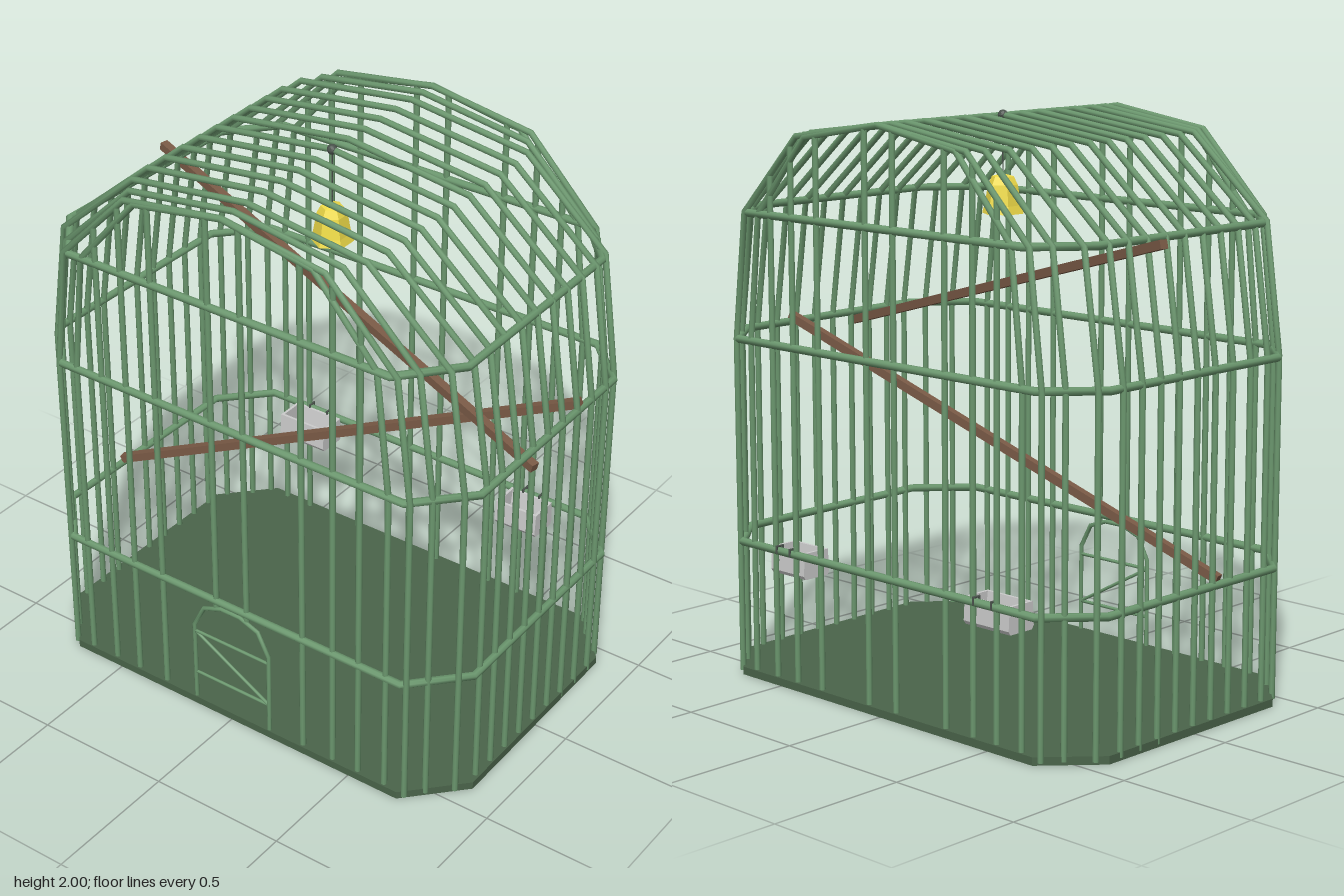
import * as THREE from 'three';

const mat = (color, extra = {}) => new THREE.MeshStandardMaterial({ color, flatShading: true, ...extra });
const V = (x, y, z) => new THREE.Vector3(x, y, z);

// Mitred pipe along a planar path; n is the normal of the path's plane.
function pipe(points, n, r, closed = false, sides = 8) {
  const count = points.length, pos = [], idx = [];
  points.forEach((p, i) => {
    const prev = closed || i > 0 ? points[(i + count - 1) % count] : null;
    const next = closed || i < count - 1 ? points[(i + 1) % count] : null;
    const a = prev ? p.clone().sub(prev).normalize() : next.clone().sub(p).normalize();
    const b = next ? next.clone().sub(p).normalize() : a;
    const t = a.clone().add(b).normalize();
    const m = t.clone().cross(n).multiplyScalar(1 / t.dot(a));
    for (let j = 0; j < sides; j++) {
      const ang = (j + 0.5) / sides * Math.PI * 2;
      pos.push(...p.clone().addScaledVector(n, r * Math.cos(ang)).addScaledVector(m, r * Math.sin(ang)).toArray());
    }
  });
  for (let i = 0; i < (closed ? count : count - 1); i++) {
    const k = ((i + 1) % count) * sides;
    for (let j = 0; j < sides; j++) {
      const a = i * sides + j, b = i * sides + (j + 1) % sides, c = k + (j + 1) % sides, d = k + j;
      idx.push(a, b, c, a, c, d);
    }
  }
  if (!closed) {
    const e = (count - 1) * sides;
    for (let j = 1; j < sides - 1; j++) idx.push(0, j + 1, j, e, e + j, e + j + 1);
  }
  const g = new THREE.BufferGeometry();
  g.setAttribute('position', new THREE.Float32BufferAttribute(pos, 3));
  g.setIndex(idx);
  g.computeVertexNormals();
  return g;
}

// Straight rod between two points
function rod(a, b, r, sides = 8) {
  const d = b.clone().sub(a);
  const n = V(0, 1, 0).cross(d);
  if (n.lengthSq() < 1e-6) n.set(1, 0, 0);
  return pipe([a, b], n.normalize(), r, false, sides);
}

// Eight corners of the floor plan, slightly deeper on the right side
const plan = (x, z, cx, cz) => [
  [cx, z - 0.006], [x, cz], [x, -cz], [cx, -z + 0.006],
  [-cx + 0.015, -z - 0.006], [-x, -cz], [-x, cz], [-cx + 0.015, z + 0.006],
];

export function createModel() {
  const model = new THREE.Group();
  const green = mat(0x6b976e, { flatShading: false }), floorGreen = mat(0x4a644a), wood = mat(0x7a5a46);
  const yellow = mat(0xf0dc48, { side: THREE.DoubleSide }), grey = mat(0xcccccc, { side: THREE.DoubleSide });
  const dark = mat(0x4a524c);
  const add = (parent, name, geo, material) => {
    const mesh = new THREE.Mesh(geo, material);
    mesh.name = name;
    parent.add(mesh);
    return mesh;
  };
  const group = name => {
    const g = new THREE.Group();
    g.name = name;
    model.add(g);
    return g;
  };

  // Floor tray
  const floorShape = new THREE.Shape(plan(0.598, 0.875, 0.42, 0.7).map(p => new THREE.Vector2(...p)));
  const floorGeo = new THREE.ExtrudeGeometry(floorShape, { depth: 0.028, bevelEnabled: false });
  floorGeo.rotateX(-Math.PI / 2);
  add(model, 'floor', floorGeo, floorGreen);

  // Horizontal hoops
  const hoops = group('hoops');
  for (const [y, x, z, cx, cz] of [[0.482, 0.585, 0.863, 0.42, 0.7], [1.203, 0.585, 0.863, 0.42, 0.7], [1.645, 0.583, 0.795, 0.41, 0.64]])
    add(hoops, 'hoop', pipe(plan(x, z, cx, cz).map(([px, pz]) => V(px, y, pz)), V(0, 1, 0), 0.014, true), green);

  // Bars running up the front, over the roof and down the back
  const arches = group('archBars');
  const archSpecs = [[0.52, 0.765], [0.58, 0.72], [0.583, 0.64]].flatMap(([x, m]) => [[x, m], [-x, m]]);
  for (let i = -5; i <= 5; i++) archSpecs.push([i * 0.0905, Math.abs(i) === 5 ? 0.84 : 0.863]);
  for (const [x, m] of archSpecs) {
    const half = [[m, 0.01], [m, 1.203], [m * 0.925, 1.645], [m * 0.55, 1.92]];
    const path = [...half, [0, 1.98], ...half.slice().reverse().map(([z, y]) => [-z, y])];
    add(arches, 'archBar', pipe(path.map(([z, y]) => V(x, y, z)), V(1, 0, 0), 0.011), green);
  }

  // Upright bars of the two long sides; those above the door start at its top
  const uprights = group('sideBars');
  for (const s of [-1, 1])
    for (const [z, top] of [[0.065, 1.965], [0.3, 1.93], [0.425, 1.885], [0.53, 1.78]])
      for (const e of [-1, 1]) {
        const bottom = s < 0 && z < 0.1 ? 0.45 : 0.01;
        add(uprights, 'sideBar', rod(V(s * 0.582, bottom, e * z), V(s * 0.582, top, e * z), 0.011), green);
      }

  // Arched door on the right side
  const door = group('door');
  const dx = -0.588;
  const frame = [[0.16, 0.02], [0.16, 0.345], [0.115, 0.43], [0.04, 0.458], [-0.04, 0.458], [-0.115, 0.43], [-0.16, 0.345], [-0.16, 0.02]];
  add(door, 'doorFrame', pipe(frame.map(([z, y]) => V(dx, y, z)), V(1, 0, 0), 0.008), green);
  for (const [y0, y1] of [[0.135, 0.135], [0.315, 0.315], [0.135, 0.315]])
    add(door, 'doorBrace', rod(V(dx, y0, 0.16), V(dx, y1, -0.16), 0.006), green);

  // Square wooden perches
  const perches = group('perches');
  add(perches, 'upperPerch', rod(V(-0.13, 1.165, 0.895), V(0.215, 1.642, -0.895), 0.021, 4), wood);
  add(perches, 'lowerPerch', rod(V(0.205, 1.225, 0.86), V(-0.12, 0.5, -0.865), 0.021, 4), wood);

  // Bell hung on a thin chain
  const bell = group('bell');
  const profile = [[0.073, 1.647], [0.064, 1.675], [0.052, 1.745], [0.038, 1.773], [0.001, 1.782]].map(p => new THREE.Vector2(...p));
  const bellGeo = new THREE.LatheGeometry(profile, 6);
  bellGeo.rotateY(Math.PI / 2);
  add(bell, 'bellBody', bellGeo, yellow);
  add(bell, 'chainRod', rod(V(0, 1.82, 0), V(0, 1.98, 0), 0.0025, 5), dark);
  for (const y of [1.797, 1.815, 1.87, 1.925]) {
    const link = add(bell, 'chainLink', new THREE.TorusGeometry(0.005, 0.002, 4, 8), dark);
    link.position.set(0, y, 0);
    link.scale.y = 2;
    link.rotation.y = Math.PI / 4;
  }
  add(bell, 'chainKnob', new THREE.IcosahedronGeometry(0.018, 1), dark).position.set(0, 1.98, 0);

  // Open feeding troughs hooked on the lower hoop
  const outer = [[0.468, 0.49], [0.463, 0.41], [0.472, 0.397], [0.572, 0.397], [0.58, 0.41], [0.575, 0.49]];
  const inner = [[0.565, 0.49], [0.55, 0.407], [0.49, 0.407], [0.478, 0.49]];
  const shapeOf = pts => new THREE.Shape(pts.map(p => new THREE.Vector2(...p)));
  for (const [z0, z1] of [[0.39, 0.56], [-0.58, -0.38]]) {
    const feeder = group('feeder');
    const slab = (name, pts, depth, z) =>
      add(feeder, name, new THREE.ExtrudeGeometry(shapeOf(pts), { depth, bevelEnabled: false }), grey).position.z = z;
    slab('trough', [...outer, ...inner], z1 - z0, z0);
    slab('troughEnd', outer, 0.01, z0);
    slab('troughEnd', outer, 0.01, z1 - 0.01);
    for (const t of [0.3, 0.7]) {
      const z = z0 + (z1 - z0) * t;
      const hook = [[0.57, 0.475], [0.57, 0.5], [0.598, 0.5], [0.598, 0.475]];
      add(feeder, 'hook', pipe(hook.map(([x, y]) => V(x, y, z)), V(0, 0, 1), 0.004), dark);
    }
  }
  return model;
}
